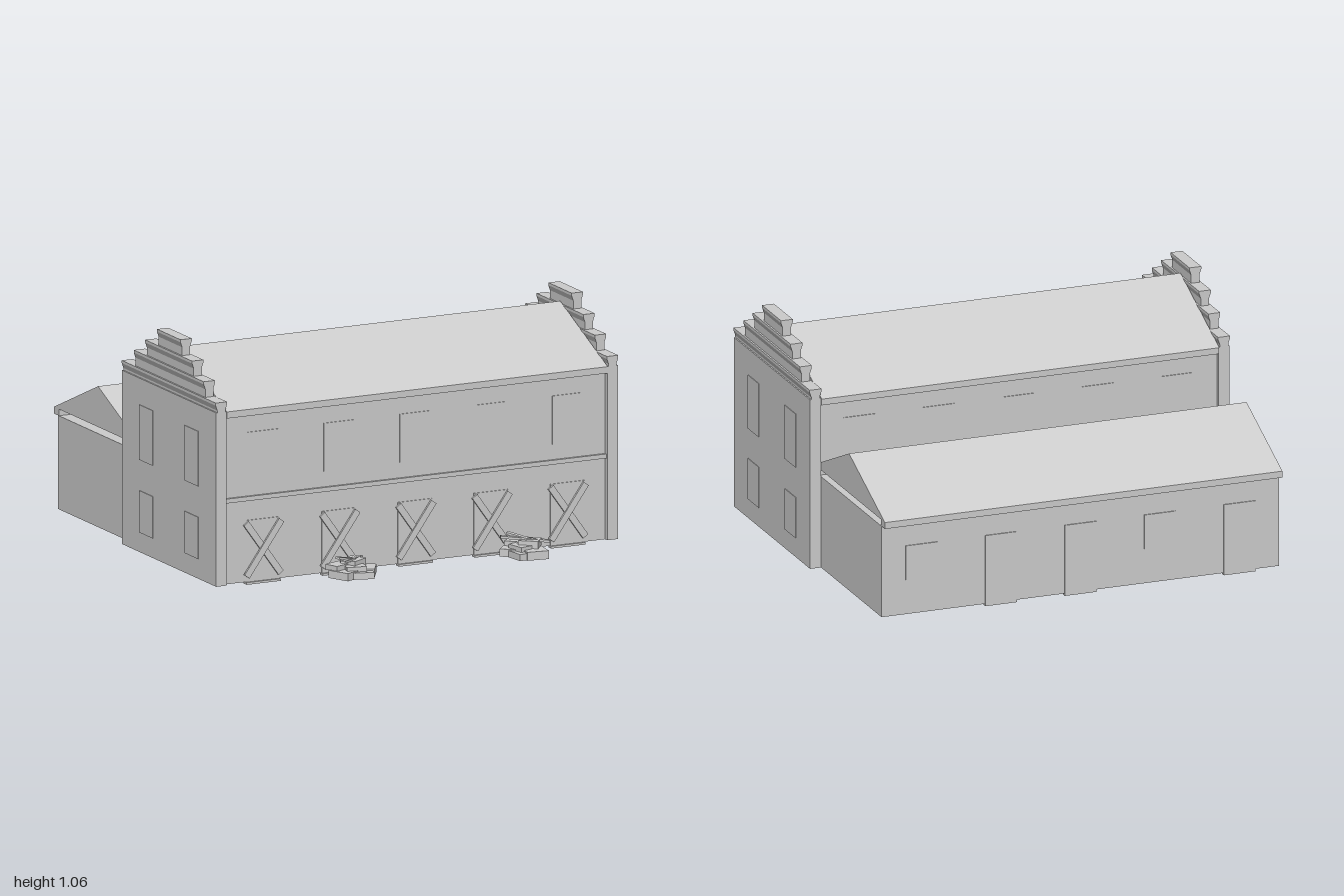
import * as THREE from 'three';

const stone = new THREE.MeshStandardMaterial({ color: 0xcccccc });
stone.name = 'pale grey';

function box(parent, name, x0, x1, y0, y1, z0, z1) {
  const m = new THREE.Mesh(new THREE.BoxGeometry(x1 - x0, y1 - y0, z1 - z0), stone);
  m.position.set((x0 + x1) / 2, (y0 + y1) / 2, (z0 + z1) / 2);
  m.name = name;
  parent.add(m);
  return m;
}

const shapeOf = pts => new THREE.Shape(pts.map(p => new THREE.Vector2(p[0], p[1])));

// Extrude a (z, y) outline along x
function prismX(parent, name, pts, x0, x1) {
  const g = new THREE.ExtrudeGeometry(shapeOf(pts.map(p => [-p[0], p[1]])), { depth: x1 - x0, bevelEnabled: false });
  g.rotateY(Math.PI / 2);
  const m = new THREE.Mesh(g, stone);
  m.position.x = x0;
  m.name = name;
  parent.add(m);
}

// Extrude an (x, y) outline along z
function prismZ(parent, name, pts, x, z0, z1) {
  const m = new THREE.Mesh(new THREE.ExtrudeGeometry(shapeOf(pts), { depth: z1 - z0, bevelEnabled: false }), stone);
  m.position.set(x, 0, z0);
  m.name = name;
  parent.add(m);
}

const BAY = 0.378, FRONT = 0.715, REAR = -0.155, WING = -0.9;

// One bay of the tall hall and the low wing behind it
function bay(parent, i) {
  const g = new THREE.Group();
  g.name = 'bay';
  const c = (i - 2) * BAY, x0 = c - BAY / 2, x1 = c + BAY / 2;

  box(g, 'hallWall', x0, x1, 0.01, 0.8, REAR, FRONT);
  box(g, 'frontEave', x0, x1, 0.77, 0.8, FRONT, 0.742);
  box(g, 'rearEave', x0, x1, 0.77, 0.8, -0.182, REAR);
  box(g, 'floorBand', x0, x1, 0.38, 0.4, FRONT, 0.727);
  prismX(g, 'hallRoof', [[0.74, 0.8], [0.28, 1.0], [-0.185, 0.8]], x0, x1);

  box(g, 'wingWall', x0, x1, 0.01, 0.435, WING, REAR);
  box(g, 'wingEave', x0, x1, 0.435, 0.465, -0.94, -0.89);
  prismX(g, 'wingRoof', [[-0.17, 0.465], [-0.17, 0.5], [-0.51, 0.65], [-0.94, 0.465]], x0, x1);

  // Windows of the upper floor, front and rear
  for (const [z0, z1] of [[FRONT, FRONT + 0.004], [REAR - 0.004, REAR]])
    box(g, 'upperWindow', c - 0.075, c + 0.075, 0.47, 0.69, z0, z1);

  // Boarded door with its sill
  box(g, 'frontDoor', c - 0.085, c + 0.085, 0.01, 0.29, FRONT, FRONT + 0.004);
  box(g, 'doorSill', c - 0.085, c + 0.085, 0, 0.01, 0.7, 0.728);
  [-1, 1].forEach((s, k) => {
    const z = FRONT + 0.004 + k * 0.006;
    const p = box(g, 'crossBoard', c - 0.148, c + 0.148, 0.143, 0.173, z, z + 0.01);
    p.rotation.z = s * 0.95;
  });

  // Doors and windows of the wing
  const door = i % 2 === 0 && i < 4 || i === 3;
  box(g, door ? 'wingDoor' : 'wingWindow', c - 0.075, c + 0.075, door ? 0.01 : 0.17, 0.33, WING - 0.005, WING);
  if (door) box(g, 'wingSill', c - 0.075, c + 0.075, 0, 0.01, WING - 0.004, WING + 0.02);
  parent.add(g);
}

// Stepped gable with flared coping on each step
function gable(parent, side) {
  const g = new THREE.Group();
  g.name = side > 0 ? 'leftGable' : 'rightGable';
  const x = side * 0.971;
  box(g, 'gableWall', x - 0.026, x + 0.026, 0.01, 0.8, -0.175, 0.737);
  const steps = [[0.845, -0.175, 0.737], [0.917, -0.058, 0.62], [0.987, 0.053, 0.508], [1.06, 0.168, 0.395]];
  let base = 0.8;
  for (const [top, z0, z1] of steps) {
    const n = 0.02, w = 0.028;
    prismZ(g, 'gableStep', [[-n, base], [n, base], [n, top - 0.035], [w, top - 0.012], [w, top],
      [-w, top], [-w, top - 0.012], [-n, top - 0.035]], x, z0, z1);
    base = top;
  }
  // Side windows in two floors
  const wall = x + side * 0.026;
  for (const z of [0.06, 0.5])
    for (const [y0, y1] of [[0.1, 0.29], [0.43, 0.68]])
      box(g, 'sideWindow', Math.min(wall, wall + side * 0.003), Math.max(wall, wall + side * 0.003), y0, y1, z - 0.065, z + 0.065);
  parent.add(g);
}

// Heap of slabs and boards: x, y, z, width, height, depth, turn, tilt
const PIECES = [
  [-0.045, 0.033, 0.02, 0.1, 0.035, 0.11, 0.45, 0],
  [0.055, 0.033, 0.0, 0.11, 0.038, 0.1, -0.55, 0],
  [0.01, 0.03, 0.055, 0.12, 0.03, 0.06, -0.3, 0],
  [-0.055, 0.06, -0.02, 0.1, 0.025, 0.07, 0.35, 0],
  [0.015, 0.07, -0.02, 0.09, 0.034, 0.08, 0.5, 0],
  [0.0, 0.055, 0.03, 0.09, 0.025, 0.06, -0.2, 0],
  [0.0, 0.088, -0.005, 0.22, 0.011, 0.022, 0.73, -0.1],
  [-0.035, 0.098, 0.005, 0.1, 0.01, 0.025, 0.3, -0.2],
];
function rubble(parent, x, z, turn) {
  const g = new THREE.Group();
  g.name = 'rubblePile';
  g.position.set(x, 0, z);
  g.rotation.y = turn;
  for (const [px, py, pz, w, h, d, ry, rz] of PIECES) {
    const m = box(g, 'debris', px - w / 2, px + w / 2, py - h / 2, py + h / 2, pz - d / 2, pz + d / 2);
    m.rotation.set(0, ry, rz);
  }
  parent.add(g);
}

export function createModel() {
  const model = new THREE.Group();
  model.name = 'warehouse';
  for (let i = 0; i < 5; i++) bay(model, i);
  for (const s of [-1, 1]) gable(model, s);
  rubble(model, -0.375, 0.84, 0);
  rubble(model, 0.48, 0.84, -1.15);
  return model;
}
